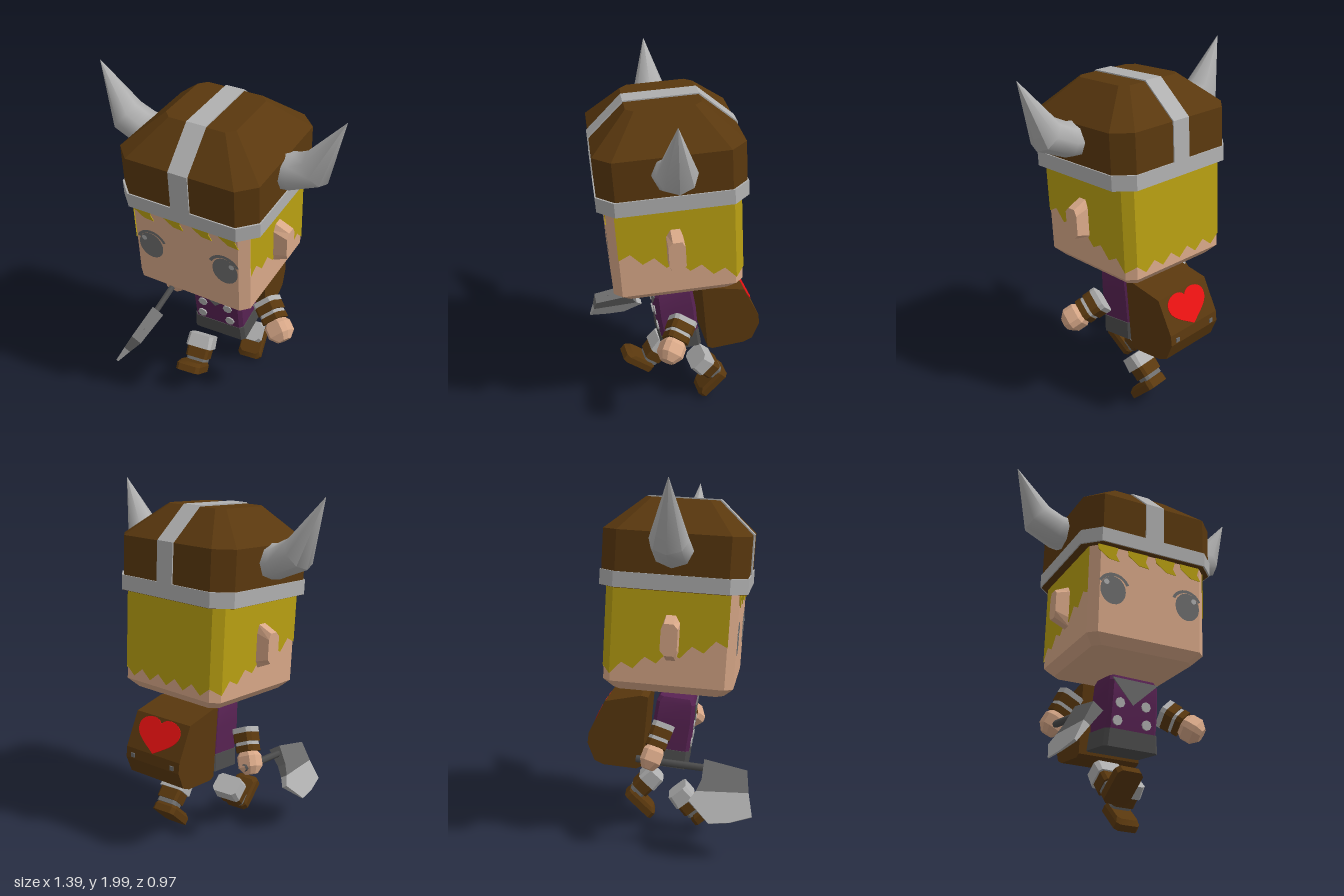
import * as THREE from 'three';
import { toCreasedNormals } from 'three/addons/utils/BufferGeometryUtils.js';

const paint = (name, color, side = THREE.FrontSide) => {
  const m = new THREE.MeshStandardMaterial({ color, side });
  m.name = name;
  return m;
};
const brown = paint('brown leather', 0x5a380e);
const silver = paint('silver', 0xb0b0b0);
const grey = paint('grey', 0x6e6e6e);
const dark = paint('dark grey', 0x4c4c4c);
const skin = paint('skin', 0xd8a888);
const blond = paint('blond', 0xb9a012, THREE.DoubleSide);
const purple = paint('purple', 0x572252);
const red = paint('red', 0xe81212);

function add(parent, name, geometry, material, x = 0, y = 0, z = 0) {
  const mesh = new THREE.Mesh(geometry, material);
  mesh.name = name;
  mesh.position.set(x, y, z);
  parent.add(mesh);
  return mesh;
}

function group(parent, name, x = 0, y = 0, z = 0) {
  const g = new THREE.Group();
  g.name = name;
  g.position.set(x, y, z);
  parent.add(g);
  return g;
}

// Closed skin over rings of points
function cover(rings, crease = 0.45) {
  const n = rings[0].length, index = [], last = (rings.length - 1) * n;
  for (let r = 0; r < rings.length - 1; r++) {
    for (let i = 0; i < n; i++) {
      const a = r * n + i, b = r * n + (i + 1) % n;
      index.push(a, a + n, b, b, a + n, b + n);
    }
  }
  for (let i = 1; i < n - 1; i++) index.push(0, i, i + 1, last, last + i + 1, last + i);
  const g = new THREE.BufferGeometry();
  g.setAttribute('position', new THREE.Float32BufferAttribute(rings.flat(2), 3));
  g.setIndex(index);
  g.computeVertexNormals();
  return toCreasedNormals(g, crease);
}

// Box outline with cut corners, as [x, z]
const outline = (w, d, c) => [
  [w, d - c], [w - c, d], [c - w, d], [-w, d - c],
  [-w, c - d], [c - w, -d], [w - c, -d], [w, c - d]];

// Upright block from sections [y, half width, half depth, corner cut, z shift], bottom first
const block = (...sections) => cover(sections.map(([y, w, d, c, dz = 0]) =>
  outline(w, d, c).map(([x, z]) => [x, y, z + dz])));

const shapeOf = (points) => new THREE.Shape(points.map((p) => new THREE.Vector2(...p)));

// Side profile of [z, y] points given a width along x
function slab(points, width) {
  const g = new THREE.ExtrudeGeometry(shapeOf(points), { depth: width, bevelEnabled: false });
  return g.translate(0, 0, -width / 2).rotateY(-Math.PI / 2);
}

const plate = (shape, depth = 0.005) =>
  new THREE.ExtrudeGeometry(shape, { depth, bevelEnabled: false, curveSegments: 10 });

function reshape(g, rule) {
  const p = g.attributes.position, v = new THREE.Vector3();
  for (let i = 0; i < p.count; i++) {
    rule(v.fromBufferAttribute(p, i));
    p.setXYZ(i, v.x, v.y, v.z);
  }
  g.computeVertexNormals();
  return g;
}

// Jagged hair wrapped around the sides and back of the head
function hairWrap(w, d, c) {
  const path = [[w, d - c], [w, c - d], [w - c, -d], [c - w, -d], [-w, c - d], [-w, d - c]];
  const pos = [], index = [];
  let k = 0;
  for (let s = 0; s < 5; s++) {
    const steps = s % 2 ? 1 : 10;
    for (let i = 0; i < steps + (s === 4 ? 1 : 0); i++, k++) {
      const t = i / steps;
      const x = path[s][0] + (path[s + 1][0] - path[s][0]) * t;
      const z = path[s][1] + (path[s + 1][1] - path[s][1]) * t;
      const low = -0.32 + 0.3 * z + (k % 2 ? 0.025 : -0.025);
      pos.push(x, 0.04, z, x, low, z);
      if (k) index.push(2 * k - 2, 2 * k, 2 * k - 1, 2 * k - 1, 2 * k, 2 * k + 1);
    }
  }
  const g = new THREE.BufferGeometry();
  g.setAttribute('position', new THREE.Float32BufferAttribute(pos, 3));
  g.setIndex(index);
  const flat = g.toNonIndexed();
  flat.computeVertexNormals();
  return flat;
}

function buildHead(root) {
  const head = group(root, 'head', 0.01, 1.4, 0.035);
  head.rotation.set(0.06, -0.12, 0, 'YXZ');
  add(head, 'face', block([-0.53, 0.3, 0.305, 0.04], [-0.48, 0.35, 0.355, 0.045], [0.06, 0.35, 0.355, 0.045]), skin);
  add(head, 'hair', hairWrap(0.355, 0.36, 0.047), blond);
  // Fringe teeth
  for (const x of [-0.255, -0.075, 0.095, 0.25]) {
    add(head, 'fringe', plate(shapeOf([[-0.07, 0.04], [-0.065, 0], [0, -0.045], [0.06, -0.05],
      [0.04, -0.015], [0.055, 0.04]])), blond, x, 0, 0.354);
  }
  for (const s of [-1, 1]) {
    // Eyes
    const eye = group(head, 'eye', s * 0.222, -0.215, 0.3565);
    const iris = add(eye, 'iris', new THREE.CircleGeometry(0.075, 20), grey, 0.005 * s, -0.012, 0.001);
    iris.scale.set(1, 1.1, 1);
    add(eye, 'lash', new THREE.RingGeometry(0.08, 0.098, 16, 1, 0.45, 2.25), grey, 0, -0.008, 0.001);
    add(eye, 'eyeHighlight', new THREE.CircleGeometry(0.016, 10), silver, s * 0.045, 0.03, 0.003);
    // Ears, narrower towards the outside
    const ear = add(head, 'ear', reshape(slab([[0.045, 0.09], [0.02, 0.13], [-0.03, 0.13], [-0.045, 0.08],
      [-0.045, -0.09], [-0.02, -0.13], [0.03, -0.13], [0.045, -0.08]], 0.1),
    (v) => { if (v.x > 0) v.y *= 0.65; }), skin, s * 0.385, -0.22, 0.01);
    ear.scale.x = s;
    // Horns: root, elbow, tip as [x, y, across x, across y, depth]
    const rings = [[0.36, 0.24, 0, 0.095, 0.11], [0.44, 0.25, -0.01, 0.095, 0.11],
      [0.56, 0.305, -0.062, 0.075, 0.103], [0.7, 0.6, -0.001, 0.001, 0.001]];
    const horn = add(head, 'horn', cover(rings.map(([x, y, ax, ay, d]) =>
      Array.from({ length: 8 }, (_, i) => {
        const a = i * Math.PI / 4, c = Math.cos(a);
        return [x + ax * c, y + ay * c, -Math.sin(a) * d];
      })), 1.0), silver);
    horn.scale.x = s;
  }
  // Helmet
  add(head, 'helmet', block([0.03, 0.4, 0.39, 0.09], [0.33, 0.4, 0.39, 0.09], [0.505, 0.2, 0.195, 0.04]), brown);
  add(head, 'helmetBand', block([0.033, 0.407, 0.397, 0.09], [0.115, 0.407, 0.397, 0.09]), silver);
  add(head, 'helmetStripe', slab([[0.397, 0.05], [0.397, 0.333], [0.199, 0.512],
    [-0.199, 0.512], [-0.397, 0.333], [-0.397, 0.05]], 0.11), silver);
}

function buildBody(root) {
  const torso = group(root, 'torso', 0.035, 0.6, 0);
  torso.rotation.set(0.13, -0.065, 0, 'YXZ');
  add(torso, 'vest', block([-0.1, 0.155, 0.11, 0.02], [0.05, 0.155, 0.115, 0.02], [0.17, 0.15, 0.11, 0.02],
    [0.2, 0.14, 0.095, 0.02]), purple);
  add(torso, 'skirt', block([-0.2, 0.168, 0.115, 0.02], [-0.1, 0.16, 0.113, 0.02]), dark);
  add(torso, 'collar', plate(shapeOf([[-0.145, 0.18], [-0.01, 0.04], [0.14, 0.18]]), 0.008), grey, 0, 0, 0.11);
  for (const s of [-1, 1]) {
    for (const [x, y] of [[0.08, 0.045], [0.09, -0.055]]) {
      add(torso, 'button', new THREE.CylinderGeometry(0.029, 0.029, 0.009, 8).rotateX(Math.PI / 2), silver,
        s * x - 0.01, y, 0.116);
    }
  }

  // Backpack with a heart on its sloping flap
  const pack = group(root, 'backpack', 0.035);
  pack.rotation.y = -0.065;
  add(pack, 'bag', slab([[-0.13, 0.81], [-0.17, 0.82], [-0.375, 0.785], [-0.47, 0.6], [-0.478, 0.54],
    [-0.44, 0.44], [-0.39, 0.415], [-0.2, 0.395], [-0.17, 0.41]], 0.38), brown);
  const heart = new THREE.Shape();
  heart.moveTo(0, -0.1);
  heart.bezierCurveTo(-0.08, -0.05, -0.15, -0.02, -0.145, 0.04);
  heart.bezierCurveTo(-0.14, 0.1, -0.03, 0.12, 0, 0.07);
  heart.bezierCurveTo(0.03, 0.12, 0.14, 0.1, 0.145, 0.04);
  heart.bezierCurveTo(0.15, -0.02, 0.08, -0.05, 0, -0.1);
  add(pack, 'heart', plate(heart), red, 0, 0.692, -0.422).rotation.set(-0.49, Math.PI, 0, 'YXZ');
  for (const s of [-1, 1]) add(pack, 'stud', new THREE.BoxGeometry(0.025, 0.025, 0.01), grey, s * 0.14, 0.56, -0.475);
}

// Banded sleeve and fist pointing from a shoulder
function buildArm(root, name, shoulder, dir, r) {
  const arm = group(root, name, ...shoulder);
  arm.quaternion.setFromUnitVectors(new THREE.Vector3(0, -1, 0), new THREE.Vector3(...dir).normalize());
  const bands = [['shoulderCuff', silver, 0, 0.03, 1.02], ['sleeve', brown, 0.03, 0.08, 1],
    ['sleeveBand', silver, 0.08, 0.1, 0.9], ['lowerSleeve', brown, 0.1, 0.135, 0.95]];
  for (const [part, mat, a, b, k] of bands) {
    add(arm, part, block([-b, r * k, r * k, 0.02], [-a, r * k, r * k, 0.02]), mat);
  }
  add(arm, 'hand', block([-0.26, r * 0.55, r * 0.55, 0.02], [-0.22, r, r * 0.95, 0.025],
    [-0.16, r, r * 0.95, 0.025], [-0.13, r * 0.7, r * 0.7, 0.02]), skin);
}

function buildLeg(root, name, x, y, z, swing) {
  const leg = group(root, name, x, y, z);
  leg.rotation.x = swing;
  add(leg, 'legCuff', block([-0.08, 0.082, 0.063, 0.015], [0, 0.08, 0.06, 0.02]), silver);
  add(leg, 'boot', block([-0.145, 0.07, 0.055, 0.015], [-0.08, 0.072, 0.055, 0.015]), brown);
  add(leg, 'ankleBand', block([-0.17, 0.064, 0.045, 0.015], [-0.145, 0.064, 0.045, 0.015]), grey);
  add(leg, 'foot', block([-0.225, 0.075, 0.105, 0.02, 0.065], [-0.185, 0.075, 0.105, 0.02, 0.065],
    [-0.165, 0.065, 0.085, 0.02, 0.055]), brown);
}

function buildAxe(root) {
  const axe = group(root, 'axe');
  const path = new THREE.LineCurve3(new THREE.Vector3(-0.35, 0.52, -0.2), new THREE.Vector3(-0.37, 0.455, 0.32));
  add(axe, 'axeHandle', new THREE.TubeGeometry(path, 1, 0.02, 6), dark);
  const head = group(axe, 'axeHead', -0.36, 0.47, 0);
  head.rotation.z = -0.58;
  // The head thins down to its cutting edge
  const thin = (v) => { v.x *= Math.max(0.08, 0.9 + v.y * 2.7); };
  add(head, 'axeCheek', reshape(slab([[0.4, -0.02], [0.17, 0.04], [0.155, -0.07], [0.125, -0.13], [0.405, -0.14]], 0.08), thin), grey);
  add(head, 'axeBlade', reshape(slab([[0.405, -0.14], [0.125, -0.13], [0.085, -0.18], [0.19, -0.3], [0.3, -0.295], [0.42, -0.265]], 0.08), thin), silver);
}

export function createModel() {
  const root = new THREE.Group();
  root.name = 'hornedWarrior';
  buildHead(root);
  buildBody(root);
  buildArm(root, 'leftArm', [0.295, 0.675, 0.01], [0.115, -0.1, 0.095], 0.068);
  buildArm(root, 'rightArm', [-0.27, 0.69, -0.05], [-0.085, -0.19, -0.075], 0.06);
  buildLeg(root, 'leftLeg', 0.145, 0.285, -0.11, 0.78);
  buildLeg(root, 'rightLeg', -0.105, 0.265, 0.02, -0.66);
  buildAxe(root);
  return root;
}
